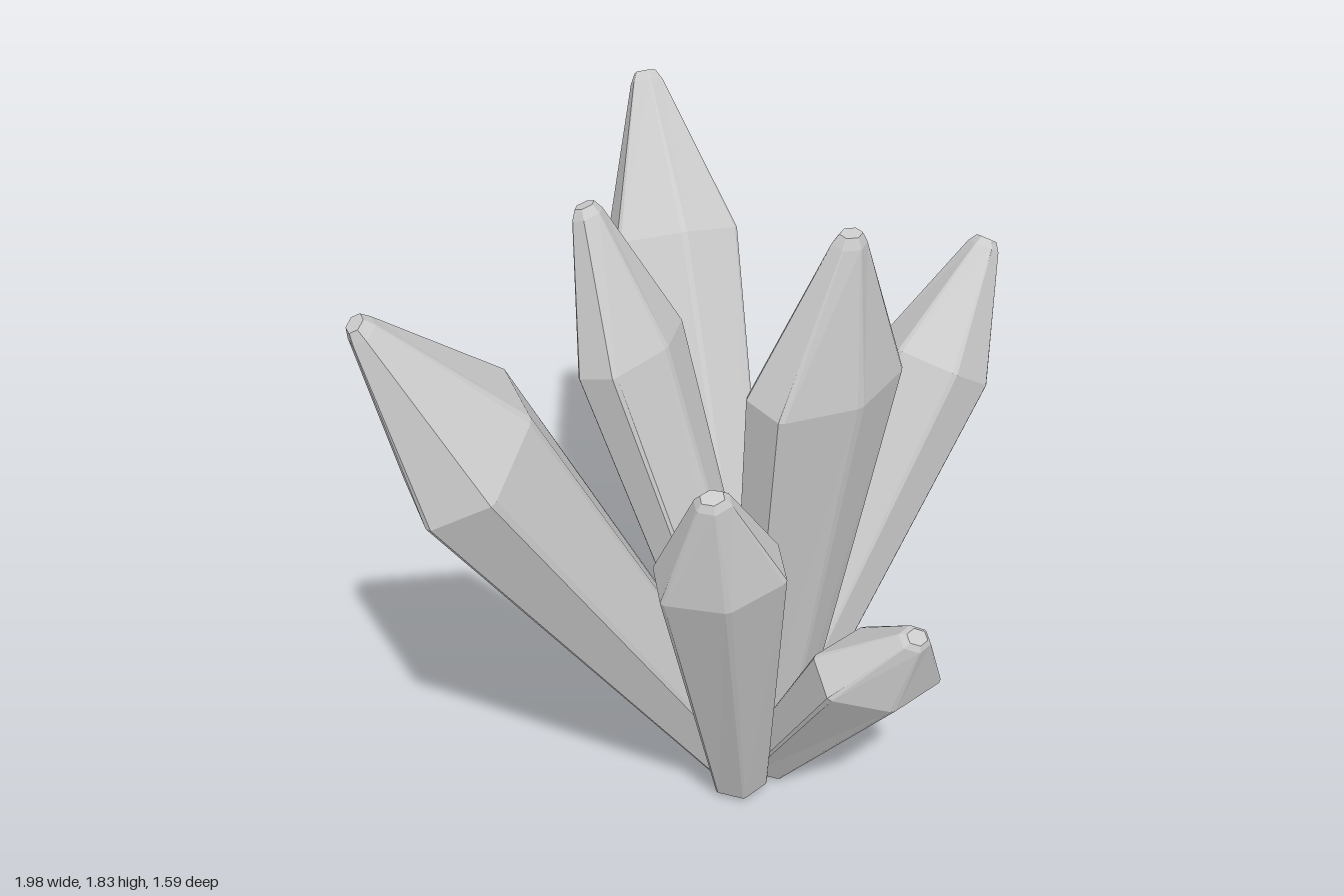
import * as THREE from 'three';

// Each crystal: base centre, tip, height fraction of its widest ring,
// radius across (side to side), radius deep (towards its lean),
// roll of the whole cross-section about the crystal's axis
const CRYSTALS = [
  { name: 'centreCrystal', base: [0.11, 0.03, 0.2], tip: [0.11, 1.85, 0.47], girdle: 0.755, across: 0.255, deep: 0.13, roll: 0 },
  { name: 'rightCrystal', base: [0.05, 0.08, 0.15], tip: [-0.962, 1.745, -0.11], girdle: 0.755, across: 0.275, deep: 0.19, roll: 0.52 },
  { name: 'backCrystal', base: [0.12, 0.07, 0.18], tip: [-0.15, 1.765, -0.25], girdle: 0.76, across: 0.2, deep: 0.12, roll: 0.26 },
  { name: 'leftCrystal', base: [0.11, 0.07, 0.2], tip: [0.975, 1.478, 0.19], girdle: 0.765, across: 0.17, deep: 0.17, roll: 0 },
  { name: 'backLeftCrystal', base: [0.11, 0.07, 0.15], tip: [0.51, 1.83, -0.775], girdle: 0.755, across: 0.21, deep: 0.145, roll: 0 },
  { name: 'frontRightCrystal', base: [-0.02, 0.06, 0.24], tip: [-0.4, 1.325, 0.53], girdle: 0.765, across: 0.185, deep: 0.125, roll: -0.35 },
  { name: 'frontCrystal', base: [0.11, 0.07, 0.24], tip: [0.11, 0.795, 0.775], girdle: 0.755, across: 0.21, deep: 0.125, roll: 0.3 },
];

const BEVEL = 0.045; // half angle of the narrow bevel on every long edge

function crystalGeometry({ base, tip, girdle, across, deep, roll }) {
  const a = new THREE.Vector3(...base), b = new THREE.Vector3(...tip);
  const axis = b.clone().sub(a).normalize();
  // outward = direction of lean, made square to the axis, then rolled
  const outward = new THREE.Vector3(axis.x, 0, axis.z);
  outward.addScaledVector(axis, -outward.dot(axis)).normalize().applyAxisAngle(axis, -roll);
  const side = axis.clone().cross(outward);

  // Rings along the axis: [fraction, across radius, deep radius]
  const tipR = 0.05;
  const rings = [
    [0, across * 0.46, Math.max(deep * 0.5, 0.075)],
    [girdle, across, deep],
    [0.985, tipR, tipR * 0.8],
    [1, tipR * 0.65, tipR * 0.5],
  ];
  const n = 12, positions = [], index = [];
  const put = (v) => positions.push(v.x, v.y, v.z);
  for (const [t, ra, rd] of rings) {
    for (let i = 0; i < n; i++) {
      const ang = Math.floor(i / 2) * Math.PI / 3 + (i % 2 ? BEVEL : -BEVEL);
      put(a.clone().lerp(b, t)
        .addScaledVector(outward, Math.cos(ang) * rd)
        .addScaledVector(side, Math.sin(ang) * ra));
    }
  }
  for (let r = 0; r < rings.length - 1; r++) {
    for (let i = 0; i < n; i++) {
      const p = r * n + i, q = r * n + (i + 1) % n;
      index.push(p, q, q + n, p, q + n, p + n);
    }
  }
  // End caps
  const bottom = rings.length * n, top = bottom + 1, last = bottom - n;
  put(a);
  put(b);
  for (let i = 0; i < n; i++) {
    const j = (i + 1) % n;
    index.push(bottom, j, i, top, last + i, last + j);
  }
  const indexed = new THREE.BufferGeometry();
  indexed.setAttribute('position', new THREE.Float32BufferAttribute(positions, 3));
  indexed.setIndex(index);
  const geometry = indexed.toNonIndexed();
  geometry.computeVertexNormals();
  return geometry;
}

export function createModel() {
  const group = new THREE.Group();
  group.name = 'crystalCluster';
  const material = new THREE.MeshStandardMaterial({ color: 0xcccccc, flatShading: true });
  for (const spec of CRYSTALS) {
    const mesh = new THREE.Mesh(crystalGeometry(spec), material);
    mesh.name = spec.name;
    group.add(mesh);
  }
  return group;
}
